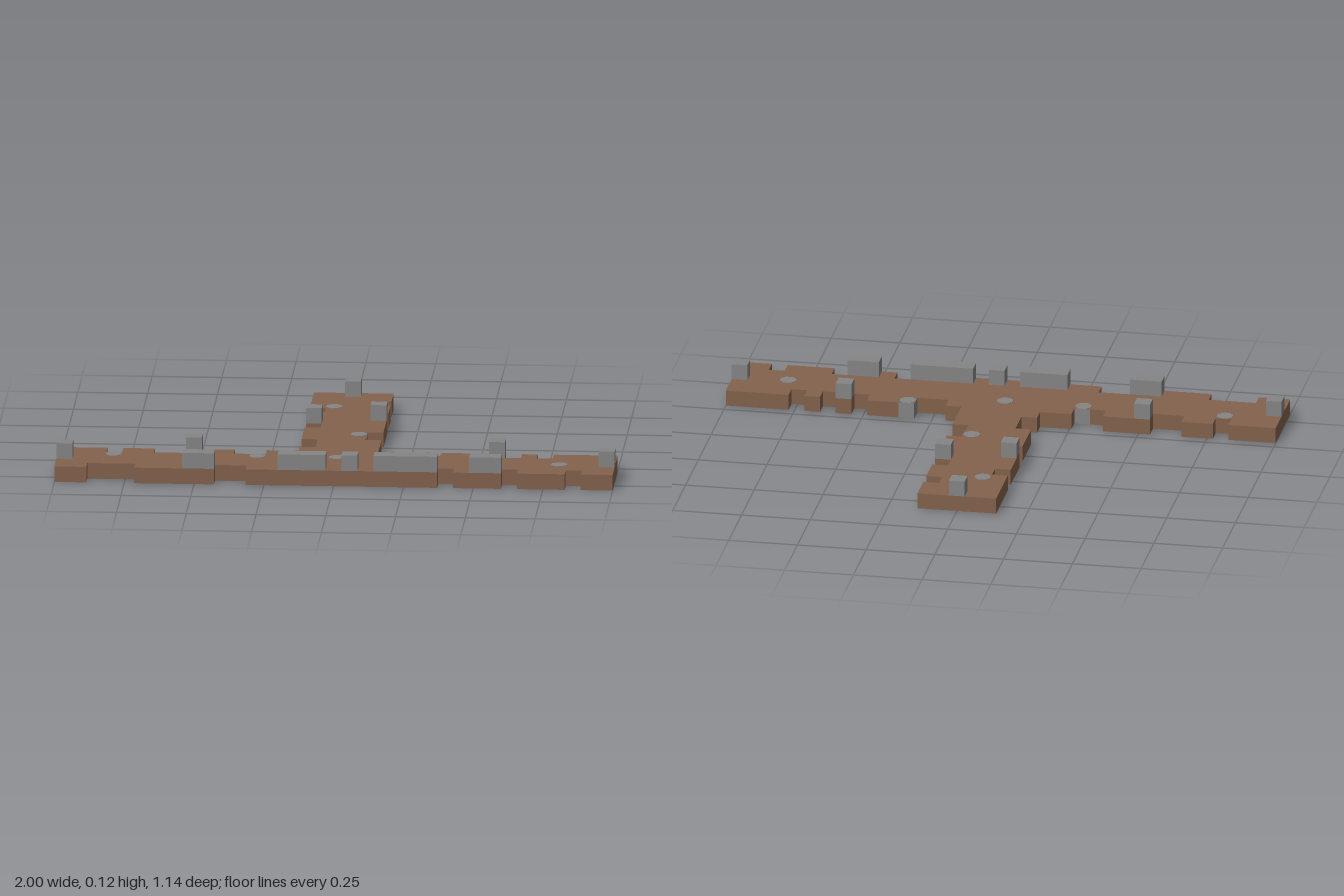
import * as THREE from 'three';

const U = 2 / 35; // one grid cell; columns 0..35 along x, rows 0..20 along z
const X = (c) => (c - 17.5) * U;
const Z = (r) => (r - 10) * U;

export function createModel() {
  const group = new THREE.Group();
  const earth = new THREE.MeshStandardMaterial({ color: 0x84624d });
  earth.name = 'earth brown';
  const stone = new THREE.MeshStandardMaterial({ color: 0x858585 });
  stone.name = 'stone grey';

  const add = (name, geometry, material, x = 0, y = 0, z = 0) => {
    const mesh = new THREE.Mesh(geometry, material);
    mesh.name = name;
    mesh.position.set(x, y, z);
    group.add(mesh);
  };

  // Walk an edge from a to b, stepping in from line "out" to line "inn" at each notch
  const points = [];
  const edge = (a, b, out, inn, notches, alongX) => {
    const put = (t, d) => points.push(alongX ? [t, d] : [d, t]);
    const reverse = b < a;
    const list = reverse ? notches.map(([s, e]) => [e, s]).reverse() : notches;
    put(a, out);
    for (const [s, e] of list) {
      put(s, out);
      put(s, inn);
      put(e, inn);
      put(e, out);
    }
    put(b, out);
  };

  // T-shaped floor outline with crumbled edges
  edge(0, 35, 20, 19, [[2, 5], [10, 12], [24, 25], [28, 29], [32, 33]], true);
  edge(35, 21, 15, 16, [[21, 23], [26, 27], [28, 29], [30, 31]], true);
  edge(15, 0, 20, 19, [[2, 3], [5, 6], [10, 12]], false);
  edge(0, 15, 15, 16, [[4, 5], [8, 9], [12, 14]], false);
  edge(14, 0, 15, 16, [[3, 4], [6, 8], [11, 13]], true);

  const outline = points
    .map(([c, r]) => new THREE.Vector2(X(c), -Z(r)))
    .filter((p, i, all) => i === 0 || p.distanceTo(all[i - 1]) > 1e-5);
  const floor = new THREE.ExtrudeGeometry(new THREE.Shape(outline), { depth: U, bevelEnabled: false });
  floor.rotateX(-Math.PI / 2);
  add('floor', floor, earth);

  // Raised blocks: [column, row, length in cells]
  const blocks = [
    [17, 0, 1], [19, 6, 1], [15, 7, 1], [8, 15, 1], [27, 15, 1], [0, 17, 1], [34, 17, 1],
    [8, 19, 2], [14, 19, 3], [18, 19, 1], [20, 19, 4], [26, 19, 2],
  ];
  for (const [c, r, n] of blocks) {
    add('wallBlock', new THREE.BoxGeometry(n * U, U, U), stone, X(c + n / 2), 1.5 * U, Z(r + 0.5));
  }

  // Stones set flush into the floor, seen from above and below
  const spot = new THREE.CylinderGeometry(0.0305, 0.0305, U + 0.002, 8);
  spot.rotateY(Math.PI / 8);
  for (const [c, r] of [[3, 16], [12, 16], [17, 16], [31, 17], [16, 3], [18, 10], [23, 15]]) {
    add('inlaidStone', spot, stone, X(c + 0.5), U / 2, Z(r + 0.5));
  }

  // Exposed side faces of inlaid stones along the floor edge
  const face = new THREE.BoxGeometry(U, U, 0.002);
  add('stoneFace', face, stone, X(12.5), U / 2, Z(16));
  add('stoneFace', face, stone, X(23.5), U / 2, Z(15));
  add('stoneFace', new THREE.BoxGeometry(0.002, U, U), stone, X(23), U / 2, Z(15.5));
  add('stoneFace', new THREE.BoxGeometry(0.002, U, U), stone, X(19), U / 2, Z(10.5));

  return group;
}
